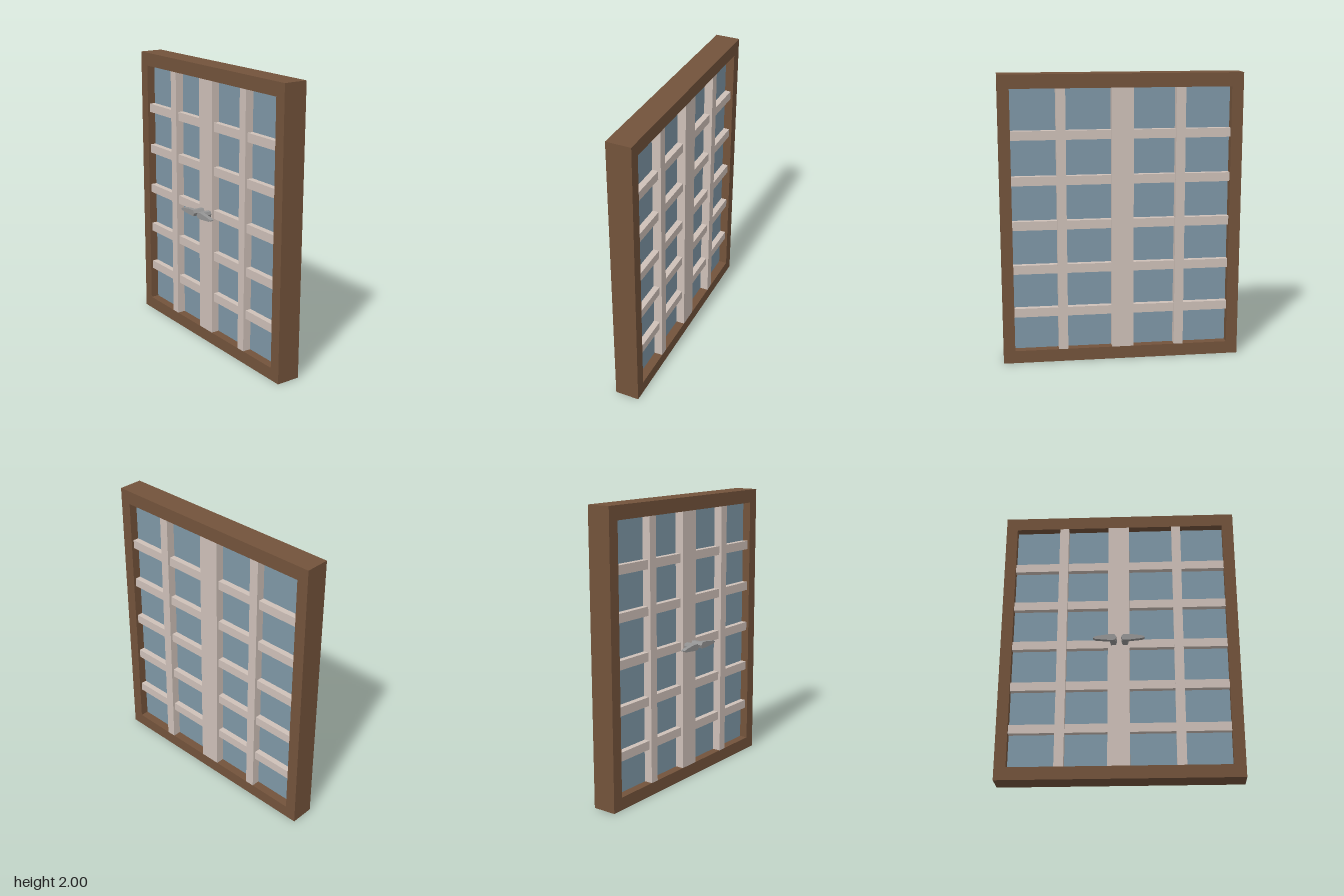
import * as THREE from 'three';

const material = (name, color) => {
  const m = new THREE.MeshStandardMaterial({ color });
  m.name = name;
  return m;
};

export function createModel() {
  const wood = material('brown wood', 0x73533b);
  const paint = material('pale bars', 0xcec0b8);
  const glass = material('blue glass', 0x7e97a6);
  const metal = material('grey metal', 0x959595);

  const model = new THREE.Group();
  model.name = 'window';

  const add = (name, geometry, mat, parent = model) => {
    const mesh = new THREE.Mesh(geometry, mat);
    mesh.name = name;
    parent.add(mesh);
    return mesh;
  };
  // Box given by its extents
  const box = (name, mat, x0, x1, y0, y1, z0, z1) => {
    const g = new THREE.BoxGeometry(x1 - x0, y1 - y0, z1 - z0);
    g.translate((x0 + x1) / 2, (y0 + y1) / 2, (z0 + z1) / 2);
    return add(name, g, mat);
  };
  // Flat outline extruded from z0 to z1
  const slab = (shape, z0, z1) =>
    new THREE.ExtrudeGeometry(shape, { depth: z1 - z0, bevelEnabled: false }).translate(0, 0, z0);
  const outline = (points) => new THREE.Shape(points.map(([x, y]) => new THREE.Vector2(x, y)));

  const back = -0.13, front = 0.04;
  const left = -0.75, right = 0.75, bottom = 0.088, top = 1.906;

  // Outer frame with one rectangular opening
  const frame = outline([[-0.83, 0], [0.83, 0], [0.83, 2], [-0.83, 2]]);
  frame.holes.push(outline([[left, bottom], [left, top], [right, top], [right, bottom]]));
  add('frame', slab(frame, back, front), wood);

  // Glass set in the middle of the depth
  box('glass', glass, left, right, bottom, top, -0.07, -0.02);

  // Upright bars, flush with the frame
  const uprights = [[-0.435, -0.37], [-0.08, 0.07], [0.38, 0.445]];
  uprights.forEach(([x0, x1], i) =>
    box(i === 1 ? 'centreStile' : 'uprightBar', paint, x0, x1, bottom, top, back, front));

  // Crossbars between the uprights, slightly recessed
  const gaps = [[left, -0.435], [-0.37, -0.08], [0.07, 0.38], [0.445, right]];
  for (let row = 0; row < 5; row++) {
    const y = 0.358 + row * 0.3085;
    for (const [x0, x1] of gaps) {
      box('crossbar', paint, x0, x1, y - 0.031, y + 0.031, back + 0.018, front - 0.018);
    }
  }

  // Pair of lever handles: a short stem and a tapering lever
  const stemPoints = [[0.016, 0.98], [0.022, 0.96], [0.057, 0.957], [0.065, 0.978], [0.057, 0.998], [0.03, 1.0]];
  const leverPoints = [[0.016, 0.98], [0.026, 0.957], [0.07, 0.957], [0.16, 0.966], [0.177, 0.974],
    [0.177, 0.98], [0.15, 0.989], [0.07, 1.0], [0.03, 1.0]];
  for (const side of [1, -1]) {
    const handle = new THREE.Group();
    handle.name = side > 0 ? 'leftHandle' : 'rightHandle';
    const mirrored = (points) => outline(points.map(([x, y]) => [x * side, y]));
    add('stem', slab(mirrored(stemPoints), front, 0.1), metal, handle);
    add('lever', slab(mirrored(leverPoints), 0.1, 0.13), metal, handle);
    model.add(handle);
  }

  return model;
}
